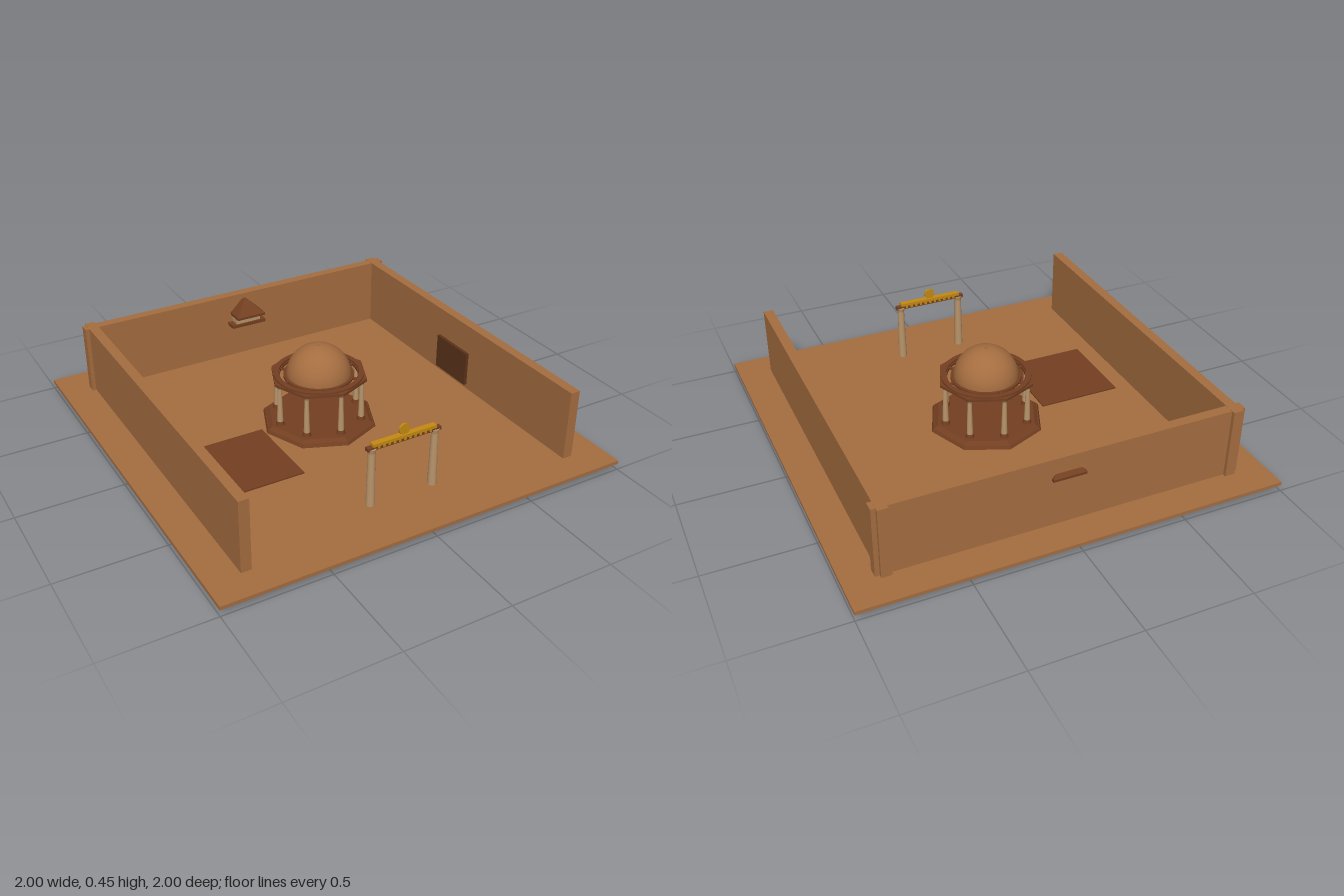
import * as THREE from 'three';

const mat = (name, color) => {
  const m = new THREE.MeshStandardMaterial({ color });
  m.name = name;
  return m;
};

export function createModel() {
  const clay = mat('clay', 0xa56d40);
  const wood = mat('dark wood', 0x733f21);
  const doorWood = mat('door wood', 0x5c3219);
  const stone = mat('pale stone', 0xb8946a);
  const gold = mat('gold', 0xc48a12);

  const root = new THREE.Group();
  root.name = 'courtyard';

  const add = (parent, name, geo, material, x = 0, y = 0, z = 0) => {
    const m = new THREE.Mesh(geo, material);
    m.name = name;
    m.position.set(x, y, z);
    parent.add(m);
    return m;
  };
  const group = (name) => {
    const g = new THREE.Group();
    g.name = name;
    root.add(g);
    return g;
  };
  // Box given by its minimum and maximum corners
  const box = (parent, name, material, x0, x1, y0, y1, z0, z1) =>
    add(parent, name, new THREE.BoxGeometry(x1 - x0, y1 - y0, z1 - z0), material,
      (x0 + x1) / 2, (y0 + y1) / 2, (z0 + z1) / 2);
  // Upright cylinder from y0 to y1
  const post = (parent, name, material, x, z, y0, y1, rTop, rBottom, sides = 16) =>
    add(parent, name, new THREE.CylinderGeometry(rTop, rBottom, y1 - y0, sides), material,
      x, (y0 + y1) / 2, z);
  const regular = (shape, r, n) => {
    for (let i = 0; i < n; i++) {
      const a = (i / n) * Math.PI * 2;
      shape[i ? 'lineTo' : 'moveTo'](r * Math.cos(a), r * Math.sin(a));
    }
    shape.closePath();
    return shape;
  };
  // Flat ring lying level, its underside at y
  const ring = (parent, name, material, outer, outerSides, inner, y, height) => {
    const shape = regular(new THREE.Shape(), outer, outerSides);
    shape.holes.push(regular(new THREE.Path(), inner, 40));
    const geo = new THREE.ExtrudeGeometry(shape, { depth: height, bevelEnabled: false });
    geo.rotateX(-Math.PI / 2);
    return add(parent, name, geo, material, 0, y, 0);
  };

  // Ground and the three walls, crossing at the back corners
  box(root, 'ground', clay, -1, 1, 0.03, 0.047, -1, 1);
  const walls = group('walls');
  box(walls, 'rightWall', clay, -0.843, -0.795, 0.045, 0.39, -0.862, 0.862);
  box(walls, 'leftWall', clay, 0.793, 0.841, 0.045, 0.39, -0.862, 0.862);
  box(walls, 'backWall', clay, -0.862, 0.862, 0.045, 0.389, -0.845, -0.797);

  // Door on the left wall
  box(root, 'door', doorWood, 0.777, 0.795, 0.07, 0.245, -0.125, 0.12);

  // Sunken basin with its cover
  const basin = group('basin');
  box(basin, 'basinCover', wood, -0.705, -0.295, 0.051, 0.058, -0.028, 0.387);
  box(basin, 'basinStep', wood, -0.67, -0.33, 0.022, 0.05, 0.015, 0.35);
  box(basin, 'basinFloor', wood, -0.635, -0.367, 0, 0.024, 0.05, 0.317);

  // Pavilion platform in two tapered steps
  const pavilion = group('pavilion');
  const octagon = (name, y0, y1, rTop, rBottom) => {
    const geo = new THREE.CylinderGeometry(rTop, rBottom, y1 - y0, 8).toNonIndexed();
    geo.computeVertexNormals();
    add(pavilion, name, geo, wood, 0, (y0 + y1) / 2, 0);
  };
  octagon('platformStep', 0.047, 0.06, 0.275, 0.282);
  octagon('platform', 0.06, 0.076, 0.25, 0.27);

  // Eight columns
  for (let i = 0; i < 8; i++) {
    const a = (i * Math.PI) / 4;
    const x = 0.21 * Math.sin(a), z = 0.21 * Math.cos(a);
    post(pavilion, 'columnBase', wood, x, z, 0.076, 0.095, 0.017, 0.021);
    post(pavilion, 'columnShaft', stone, x, z, 0.095, 0.27, 0.01, 0.015);
    post(pavilion, 'columnCapital', stone, x, z, 0.27, 0.286, 0.018, 0.01);
  }

  // Ring beam, mouldings and dome
  ring(pavilion, 'ringBeam', wood, 0.235, 8, 0.185, 0.286, 0.013);
  ring(pavilion, 'ringMoulding', wood, 0.215, 40, 0.19, 0.299, 0.008);
  ring(pavilion, 'domeCollar', wood, 0.168, 40, 0.15, 0.286, 0.012);
  for (let i = 0; i < 8; i++) {
    const a = (i * Math.PI) / 4;
    const strut = add(pavilion, 'strut', new THREE.BoxGeometry(0.012, 0.01, 0.04), wood,
      0.178 * Math.sin(a), 0.292, 0.178 * Math.cos(a));
    strut.rotation.y = a;
  }
  const domeProfile = [new THREE.Vector2(0, 0), new THREE.Vector2(0.155, 0)];
  add(pavilion, 'domeUnderside', new THREE.LatheGeometry(domeProfile.reverse(), 40), clay, 0, 0.29, 0)
    .material.side = THREE.DoubleSide;
  add(pavilion, 'dome', new THREE.SphereGeometry(0.155, 40, 16, 0, Math.PI * 2, 0, Math.PI / 2), clay, 0, 0.29, 0);
  add(pavilion, 'domeKnob', new THREE.SphereGeometry(0.007, 12, 8), clay, 0, 0.446, 0);

  // Gate with a gold beam and disc
  const gate = group('gate');
  const gz = 0.725;
  for (const s of [-1, 1]) {
    post(gate, 'gateColumn', stone, s * 0.16, gz, 0.047, 0.325, 0.016, 0.021);
    post(gate, 'gateCapital', stone, s * 0.16, gz, 0.31, 0.332, 0.021, 0.016);
    box(gate, 'beamEnd', wood, s * 0.172 - 0.013, s * 0.172 + 0.013, 0.325, 0.341, gz - 0.012, gz + 0.012);
  }
  box(gate, 'lowerBeam', wood, -0.16, 0.16, 0.325, 0.342, gz - 0.01, gz + 0.01);
  box(gate, 'goldBeam', gold, -0.16, 0.16, 0.342, 0.356, gz - 0.014, gz + 0.014);
  const disc = add(gate, 'goldDisc', new THREE.CylinderGeometry(0.026, 0.026, 0.01, 24), gold, 0, 0.379, gz);
  disc.rotation.x = Math.PI / 2;
  for (let i = 0; i < 11; i++) {
    const x = -0.13 + i * 0.026;
    box(gate, 'beamTooth', gold, x - 0.006, x + 0.006, 0.33, 0.342, gz - 0.013, gz + 0.013);
  }

  // Small shrine on the back wall
  const shrine = group('shrine');
  box(shrine, 'shrineShelf', wood, -0.095, 0.095, 0.228, 0.244, -0.8, -0.738);
  box(shrine, 'shrineBody', stone, -0.068, 0.068, 0.244, 0.286, -0.8, -0.748);
  box(shrine, 'shrineEave', wood, -0.078, 0.078, 0.283, 0.297, -0.86, -0.708);
  const roof = new THREE.ConeGeometry(0.078 * Math.SQRT2, 0.075, 4, 1).toNonIndexed();
  roof.rotateY(Math.PI / 4);
  roof.computeVertexNormals();
  add(shrine, 'shrineRoof', roof, wood, 0, 0.334, -0.784);

  return root;
}
